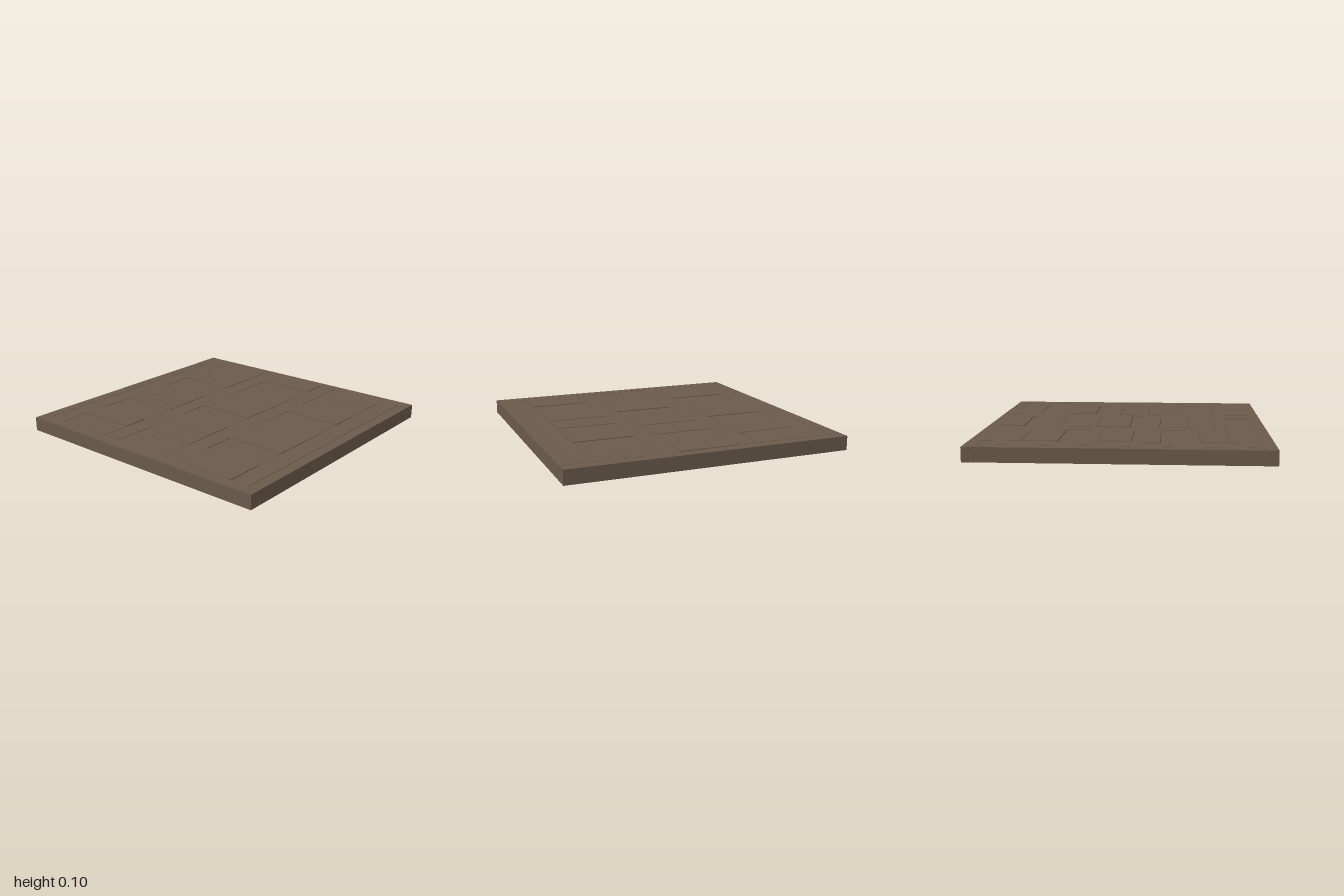
import * as THREE from 'three';

export function createModel() {
  const model = new THREE.Group();
  model.name = 'plankFloor';
  const wood = new THREE.MeshStandardMaterial({ color: 0x6a5a4a });
  wood.name = 'brown wood';

  // Box given by its limits on each axis
  const board = (name, x0, x1, y0, y1, z0, z1, parent = model) => {
    const mesh = new THREE.Mesh(new THREE.BoxGeometry(x1 - x0, y1 - y0, z1 - z0), wood);
    mesh.name = name;
    mesh.position.set((x0 + x1) / 2, (y0 + y1) / 2, (z0 + z1) / 2);
    parent.add(mesh);
    return mesh;
  };
  const gap = 0.002; // half the seam between boards
  const end = 0.92;
  const top = 0.1;

  // Outer frame: full-width front and back rails, side rails between them
  board('frontRail', -1, 1, 0, top, end, 1);
  board('backRail', -1, 1, 0, top, -1, -end);
  board('leftRail', end + gap, 1, 0, top, -end + gap, end - gap);
  board('rightRail', -1, -end - gap, 0, top, -end + gap, end - gap);

  // Joists running front to back
  [[-0.92, -0.782], [-0.354, -0.216], [0.212, 0.35], [0.782, 0.92]].forEach(([a, b]) =>
    board('joist', a + gap, b - gap, 0, top, -end + gap, end - gap));

  // Three bays of short, thinner planks, a little uneven in height
  const bays = [
    { x: [-0.782, -0.354], seams: [-0.92, -0.655, -0.41, -0.15, 0.07, 0.26, 0.52, 0.71, 0.92] },
    { x: [-0.216, 0.212], seams: [-0.92, -0.74, -0.47, -0.215, 0.03, 0.245, 0.455, 0.645, 0.92] },
    { x: [0.35, 0.782], seams: [-0.92, -0.71, -0.46, -0.27, -0.075, 0.145, 0.405, 0.645, 0.92] },
  ];
  bays.forEach(({ x, seams }, bay) => {
    const group = new THREE.Group();
    group.name = 'plankBay';
    for (let i = 0; i < seams.length - 1; i++) {
      const lift = 0.0025 * Math.sin(i * 2.3 + bay * 1.7);
      board('plank', x[0] + gap, x[1] - gap, 0.045 + lift, top + 0.001 + lift,
        seams[i] + gap, seams[i + 1] - gap, group);
    }
    model.add(group);
  });

  return model;
}
